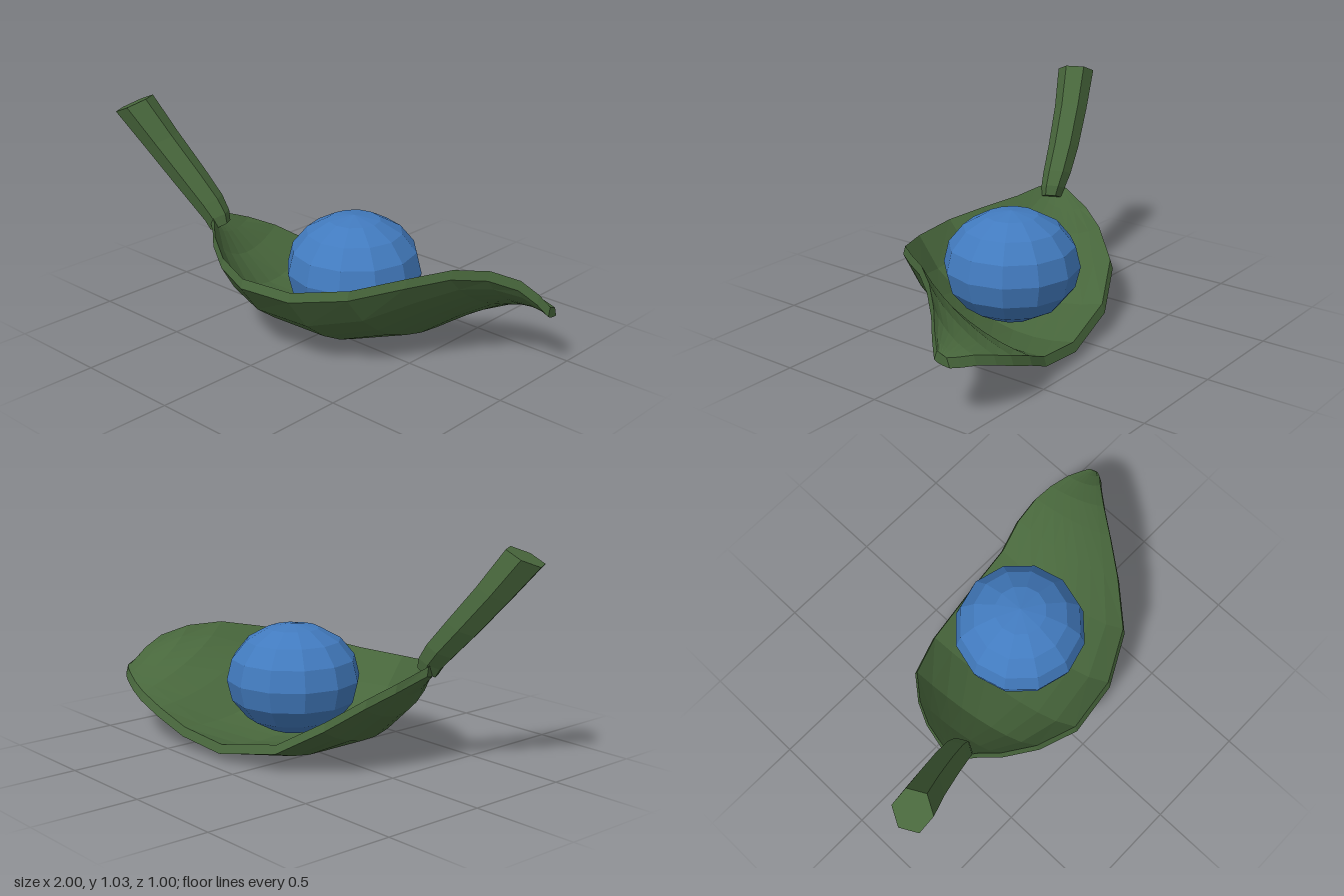
import * as THREE from 'three';

const V = (x, y, z) => new THREE.Vector3(x, y, z);

// Skin a list of closed rings and cap both ends
function loft(rings) {
  const n = rings[0].length, last = (rings.length - 1) * n;
  const pos = rings.flat().flatMap(p => [p.x, p.y, p.z]);
  const idx = [];
  for (let i = 0; i < rings.length - 1; i++) {
    for (let j = 0; j < n; j++) {
      const k = (j + 1) % n;
      const a = i * n + j, b = a + n, c = (i + 1) * n + k, d = i * n + k;
      idx.push(a, b, c, a, c, d);
    }
  }
  for (let k = 1; k < n - 1; k++) {
    idx.push(0, k, k + 1, last, last + k + 1, last + k);
  }
  const g = new THREE.BufferGeometry();
  g.setAttribute('position', new THREE.Float32BufferAttribute(pos, 3));
  g.setIndex(idx);
  const flat = g.toNonIndexed();
  flat.computeVertexNormals();
  return flat;
}

// Sagging line of points from rim to rim, a little fuller toward the front
function sagLine(front, back, sag, steps) {
  return Array.from({ length: steps + 1 }, (_, i) => {
    const t = i / steps, s = Math.pow(t, 0.8);
    const p = front.clone().lerp(back, t);
    p.y -= 4 * sag * s * (1 - s);
    return p;
  });
}

// Cupped leaf: front rim, back rim and depth at each station along its length
function leafGeometry() {
  const stations = [
    [[-0.53, 0.52, 0.23], [-0.56, 0.5, 0.15], 0.02],
    [[-0.47, 0.5, 0.27], [-0.52, 0.44, 0], 0.06],
    [[-0.4, 0.465, 0.33], [-0.46, 0.38, -0.12], 0.12],
    [[-0.25, 0.43, 0.42], [-0.35, 0.28, -0.26], 0.18],
    [[-0.06, 0.405, 0.48], [-0.14, 0.15, -0.36], 0.175],
    [[0.2, 0.405, 0.445], [0.18, 0.09, -0.425], 0.18],
    [[0.43, 0.445, 0.325], [0.43, 0.12, -0.45], 0.14],
    [[0.59, 0.49, 0.14], [0.58, 0.19, -0.485], 0.085],
    [[0.71, 0.517, -0.02], [0.71, 0.24, -0.49], 0.05],
    [[0.81, 0.5, -0.15], [0.8, 0.27, -0.475], 0.04],
    [[0.9, 0.45, -0.25], [0.89, 0.295, -0.445], 0.035],
    [[0.96, 0.385, -0.305], [0.95, 0.3, -0.415], 0.02],
    [[0.995, 0.325, -0.345], [0.99, 0.305, -0.39], 0.005],
  ];
  return loft(stations.map(([f, b, sag]) => {
    const front = V(...f), back = V(...b);
    const out = front.clone().sub(back).setY(0).setLength(0.014);
    const drop = V(0, -0.042, 0);
    const top = sagLine(front, back, sag * 0.93, 8);
    const under = sagLine(
      front.clone().add(out).add(drop), back.clone().sub(out).add(drop), sag, 8);
    return [...top, ...under.reverse()];
  }));
}

// Six-sided stalk that widens toward its cut end
function stemGeometry() {
  const path = new THREE.CatmullRomCurve3([
    V(-0.505, 0.46, 0.2), V(-0.53, 0.515, 0.203), V(-0.605, 0.605, 0.222),
    V(-0.765, 0.8, 0.28), V(-0.915, 1.005, 0.348),
  ]);
  const u = V(0.92, 0.38, 0), v = V(0, -0.2, 0.98);
  const radii = [0.05, 0.06, 0.07, 0.077, 0.083, 0.092];
  return loft(radii.map((r, i) => {
    const c = path.getPoint(i / (radii.length - 1));
    return Array.from({ length: 6 }, (_, j) => {
      const a = j * Math.PI / 3;
      return c.clone().addScaledVector(u, r * Math.cos(a)).addScaledVector(v, r * Math.sin(a));
    });
  }));
}

export function createModel() {
  const green = new THREE.MeshStandardMaterial({ color: 0x48673c, flatShading: true });
  green.name = 'leafGreen';
  const blue = new THREE.MeshStandardMaterial({ color: 0x427bbf, flatShading: true });
  blue.name = 'berryBlue';

  const model = new THREE.Group();
  model.name = 'leafWithBall';
  const add = (name, geometry, material) => {
    const mesh = new THREE.Mesh(geometry, material);
    mesh.name = name;
    model.add(mesh);
    return mesh;
  };

  add('leaf', leafGeometry(), green);
  add('stem', stemGeometry(), green);

  // Slightly flattened ball resting in the cup
  const ball = add('ball', new THREE.SphereGeometry(0.312, 12, 8).scale(1, 0.82, 1), blue);
  ball.position.set(0.125, 0.352, -0.043);
  return model;
}
